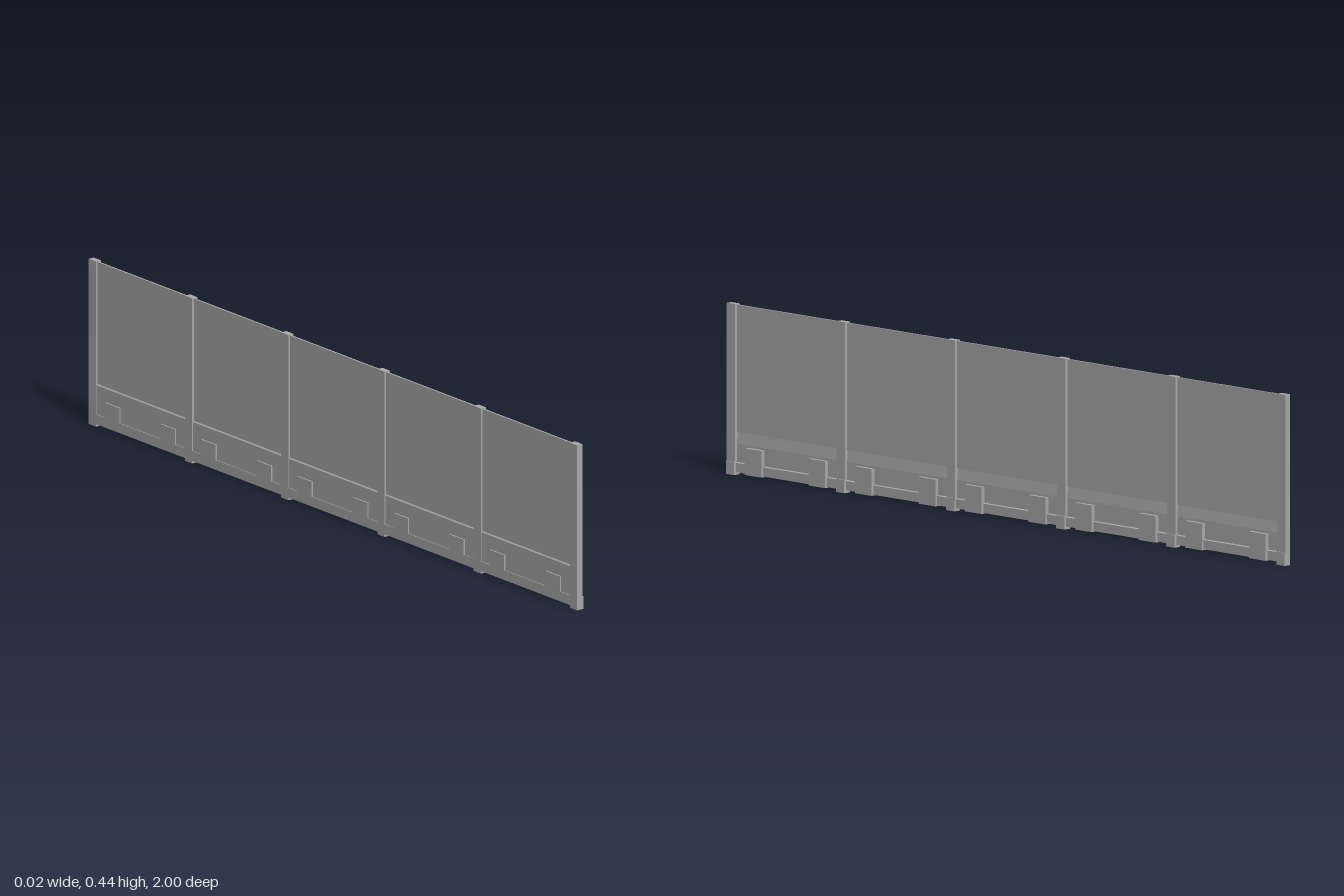
import * as THREE from 'three';

export function createModel() {
  const group = new THREE.Group();
  const grey = new THREE.MeshStandardMaterial({ color: 0xa9a9a9 });
  grey.name = 'concreteGrey';

  const BAYS = 5, PITCH = 0.394, FIRST = -0.985;

  // box given by its limits in x and y, and its centre and width in z
  function block(name, x0, x1, y0, y1, z, width) {
    const mesh = new THREE.Mesh(new THREE.BoxGeometry(x1 - x0, y1 - y0, width), grey);
    mesh.position.set((x0 + x1) / 2, (y0 + y1) / 2, z);
    mesh.name = name;
    group.add(mesh);
  }

  // cross-section of a wall panel: slab, shadow step, sloped band, base ledge
  const section = new THREE.Shape([
    [0.001, 0.438], [-0.004, 0.438], [-0.004, 0.113], [-0.007, 0.11],
    [-0.007, 0.033], [-0.009, 0.033], [-0.009, 0.007], [0.005, 0.007],
    [0.005, 0.031], [0.001, 0.033], [0.001, 0.08], [-0.002, 0.11], [0.001, 0.11],
  ].map(([x, y]) => new THREE.Vector2(x, y)));

  // panels, each with two brackets that show on both faces
  for (let i = 0; i < BAYS; i++) {
    const mid = FIRST + (i + 0.5) * PITCH;
    const length = PITCH - 0.028;
    const panel = new THREE.Mesh(
      new THREE.ExtrudeGeometry(section, { depth: length, bevelEnabled: false }), grey);
    panel.position.z = mid - length / 2;
    panel.name = 'wallPanel';
    group.add(panel);
    for (const side of [-1, 1]) {
      const z = mid + side * 0.114;
      block('bracket', -0.004, 0.0115, 0.005, 0.074, z, 0.06);
      block('bracketBackPlate', -0.011, -0.004, 0.033, 0.074, z, 0.06);
    }
  }

  // posts with a slightly deeper foot
  for (let i = 0; i <= BAYS; i++) {
    const z = FIRST + i * PITCH;
    block('post', -0.009, 0.008, 0.033, 0.44, z, 0.03);
    block('postFoot', -0.009, 0.0112, 0, 0.034, z, 0.03);
  }
  return group;
}
